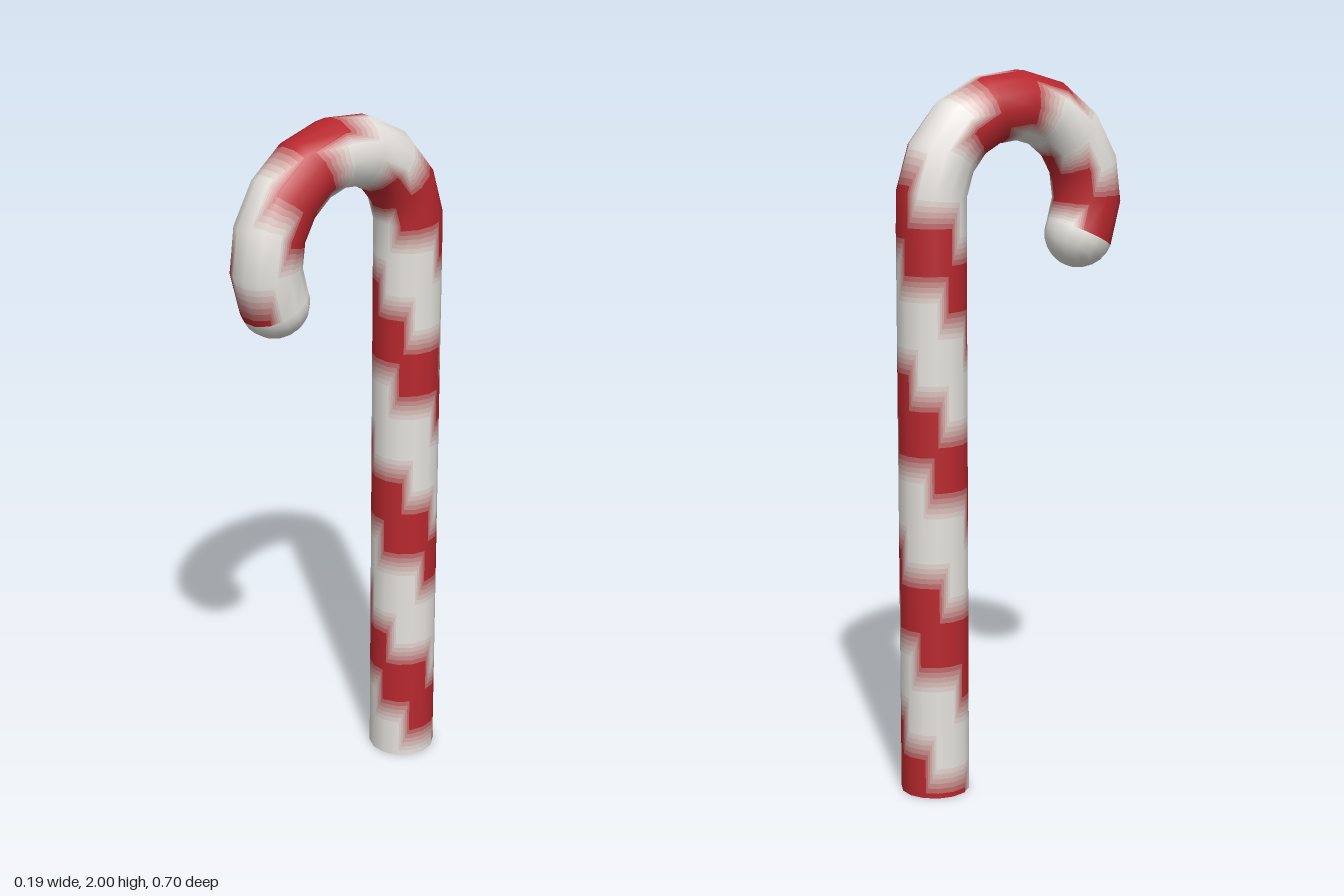
import * as THREE from 'three';

const R = 0.255, TUBE = 0.096, STEM = 1.65;        // hook radius, cane radius, stem height
const END = THREE.MathUtils.degToRad(206);         // sweep of the hook
const LENGTH = STEM + R * END;
const RINGS = 26, SIDES = 14;
const PITCH = 0.515, PHASE = 0.185, RED_SHARE = 0.49;
const WHITE = new THREE.Color(0xe6e3dd), RED = new THREE.Color(0xb8282e);

const material = (color) => new THREE.MeshStandardMaterial({ color, roughness: 0.8 });

// Centre line: straight stem, then an arc bending forward
function frameAt(s) {
  const a = Math.max(0, s - STEM) / R;
  const out = new THREE.Vector3(0, Math.sin(a), -Math.cos(a));
  const tangent = new THREE.Vector3(0, Math.cos(a), Math.sin(a));
  const centre = new THREE.Vector3(0, Math.min(s, STEM), 0).addScaledVector(out, R);
  return { centre, out, tangent };
}

// One surface corner; red is 1 inside the spiral stripe and 0 outside
function corner(i, j) {
  const s = LENGTH * i / RINGS, phi = 2 * Math.PI * j / SIDES;
  const { centre, out } = frameAt(s);
  const n = new THREE.Vector3(Math.cos(phi), 0, 0).addScaledVector(out, Math.sin(phi));
  const turns = (s - PHASE) / PITCH + j / SIDES;
  const red = Math.abs(turns - Math.round(turns)) < RED_SHARE / 2 ? 1 : 0;
  return { p: centre.addScaledVector(n, TUBE), n, red };
}

// Keep the part of a polygon where sign * (red - level) >= 0
function clip(poly, level, sign) {
  const result = [];
  poly.forEach((a, k) => {
    const b = poly[(k + 1) % poly.length];
    const da = sign * (a.red - level), db = sign * (b.red - level);
    if (da >= 0) result.push(a);
    if (da * db < 0) {
      const t = da / (da - db);
      result.push({ p: a.p.clone().lerp(b.p, t), n: a.n.clone().lerp(b.n, t).normalize(), red: level });
    }
  });
  return result;
}

// All surface pieces whose redness lies between two levels
function bandGeometry(triangles, low, high) {
  const pos = [], nor = [];
  for (const tri of triangles) {
    const poly = clip(clip(tri, low, 1), high, -1);
    for (let k = 1; k + 1 < poly.length; k++) {
      for (const v of [poly[0], poly[k], poly[k + 1]]) {
        pos.push(...v.p.toArray());
        nor.push(...v.n.toArray());
      }
    }
  }
  const geo = new THREE.BufferGeometry();
  geo.setAttribute('position', new THREE.Float32BufferAttribute(pos, 3));
  geo.setAttribute('normal', new THREE.Float32BufferAttribute(nor, 3));
  return geo;
}

export function createModel() {
  const cane = new THREE.Group();
  cane.name = 'candyCane';
  const add = (name, geo, color) => {
    const mesh = new THREE.Mesh(geo, material(color));
    mesh.name = name;
    cane.add(mesh);
    return mesh;
  };

  // Cane surface as a grid of triangles
  const triangles = [];
  for (let i = 0; i < RINGS; i++) {
    for (let j = 0; j < SIDES; j++) {
      const a = corner(i, j), b = corner(i, j + 1);
      const c = corner(i + 1, j + 1), d = corner(i + 1, j);
      triangles.push([a, b, c], [a, c, d]);
    }
  }

  // White body, red spiral stripe and the soft fade between them
  const STEPS = 7;
  for (let k = 0; k < STEPS; k++) {
    const name = k === 0 ? 'whiteBody' : k === STEPS - 1 ? 'redStripe' : `stripeFade${k}`;
    add(name, bandGeometry(triangles, k / STEPS, (k + 1) / STEPS),
      WHITE.clone().lerp(RED, k / (STEPS - 1)));
  }

  // Rounded tip of the hook
  const end = frameAt(LENGTH);
  const tip = add('hookTip', new THREE.SphereGeometry(TUBE, SIDES, 6, 0, 2 * Math.PI, 0, Math.PI / 2), WHITE);
  tip.position.copy(end.centre);
  tip.quaternion.setFromUnitVectors(new THREE.Vector3(0, 1, 0), end.tangent);

  // Flat foot
  const foot = add('footCap', new THREE.CircleGeometry(TUBE, SIDES), WHITE);
  foot.rotation.x = Math.PI / 2;
  foot.position.z = -R;

  return cane;
}
